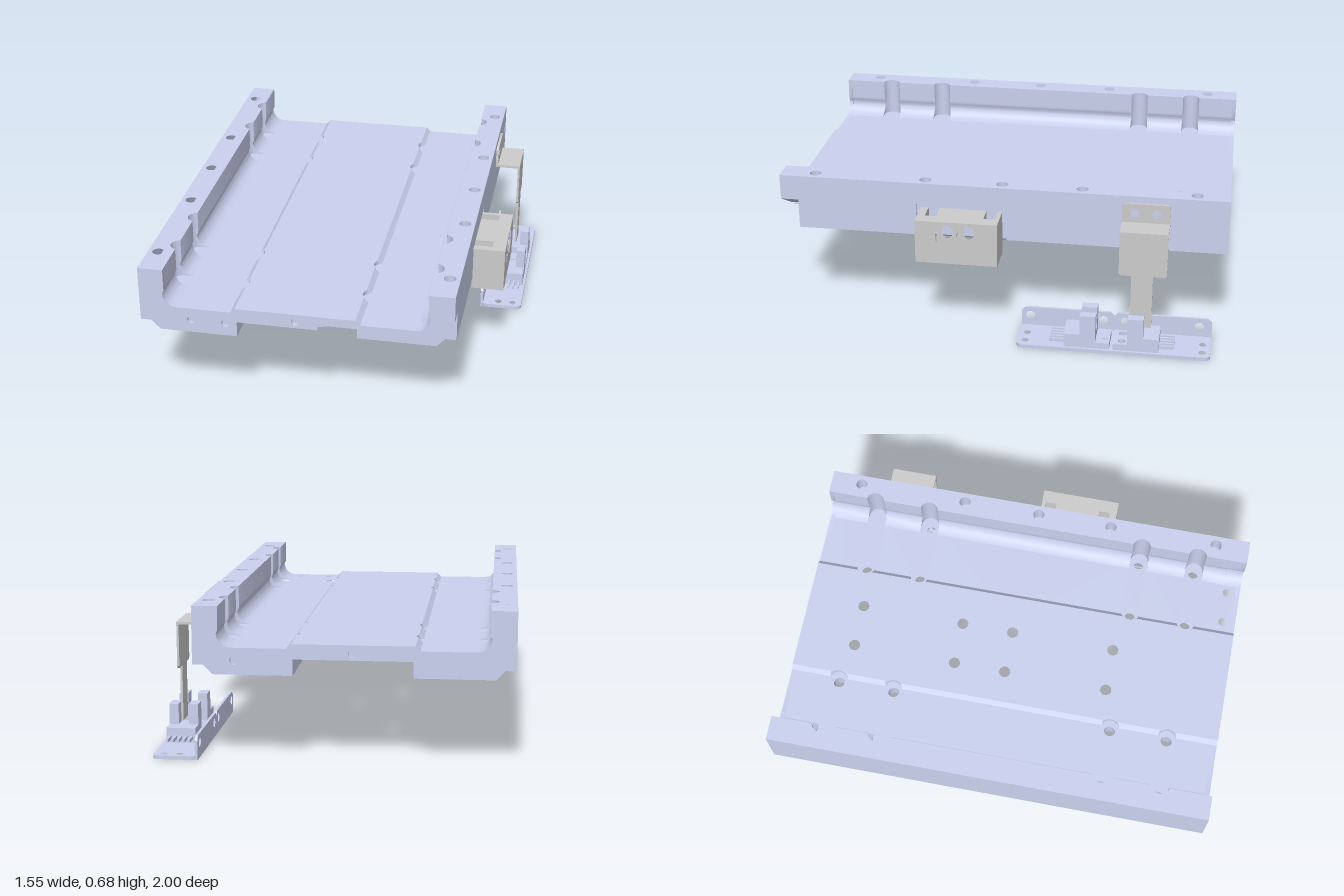
import * as THREE from 'three';
import { toCreasedNormals } from 'three/addons/utils/BufferGeometryUtils.js';

const blue = new THREE.MeshStandardMaterial({ color: 0xcad1ee });
const grey = new THREE.MeshStandardMaterial({ color: 0xcccccc });

// Outline with holes [a, b, radius, radiusB], extruded along local z.
function solid(pts, holes, depth, steps = 1) {
  const shape = new THREE.Shape(pts.map(p => new THREE.Vector2(p[0], p[1])));
  for (const [a, b, r, rb = r] of holes) {
    const path = new THREE.Path();
    path.absellipse(a, b, r, rb, 0, Math.PI * 2, true);
    shape.holes.push(path);
  }
  return new THREE.ExtrudeGeometry(shape, { depth, steps, bevelEnabled: false, curveSegments: 20 });
}
function add(group, name, geo, mat) {
  const mesh = new THREE.Mesh(toCreasedNormals(geo, 0.6), mat);
  mesh.name = name;
  group.add(mesh);
  return mesh;
}
// Plate drawn in (x, z) and raised from y0 to y1; shift may move x by (x, y, z).
function slab(pts, y0, y1, holes = [], steps = 1, shift = null) {
  const flip = list => list.map(([x, z, ...r]) => [x, -z, ...r]);
  const geo = solid(flip(pts), flip(holes), y1 - y0, steps).rotateX(-Math.PI / 2).translate(0, y0, 0);
  const p = geo.attributes.position;
  if (shift) for (let i = 0; i < p.count; i++) p.setX(i, shift(p.getX(i), p.getY(i), p.getZ(i)));
  return geo;
}
// Plate drawn in (z, y) and running from x0 to x1.
function panel(pts, x0, x1, holes = []) {
  const flip = list => list.map(([z, ...r]) => [-z, ...r]);
  return solid(flip(pts), flip(holes), x1 - x0).rotateY(Math.PI / 2).translate(x0, 0, 0);
}
// Section drawn in (x, y) and running from z0 to z1.
const section = (pts, z0, z1, holes) => solid(pts, holes, z1 - z0).translate(0, 0, z0);
const rect = (a0, b0, a1, b1) => [[a0, b0], [a1, b0], [a1, b1], [a0, b1]];
function roundRect(a0, b0, a1, b1, r) {
  const pts = [];
  [[a1 - r, b1 - r], [a0 + r, b1 - r], [a0 + r, b0 + r], [a1 - r, b0 + r]].forEach(([a, b], q) => {
    for (let k = 0; k <= 5; k++) {
      const t = (q + k / 5) * Math.PI / 2;
      pts.push([a + r * Math.cos(t), b + r * Math.sin(t)]);
    }
  });
  return pts;
}

const E = 0.98;                               // body end, closed by the end faces
const R = 0.042, rowZ = [-0.775, -0.515, 0.505, 0.77];
const midZ = [-0.745, -0.265, -0.025, 0.455];

// Half-chord of the counterbore at z, or -1 outside every counterbore
function chord(z) {
  for (const c of rowZ) {
    const d = Math.abs(z - c);
    if (d <= R + 1e-5) return Math.sqrt(Math.max(0, R * R - d * d));
  }
  return -1;
}
// Inner wall face: straight, slight undercut, then a round fillet to the floor
function wallFace(y) {
  if (y >= 0.58) return 0.5675;
  if (y >= 0.565) return 0.575 - (y - 0.565) * 0.5;
  return 0.515 + Math.sqrt(Math.max(0, 0.0036 - (0.565 - y) ** 2));
}
const wallU = (y, z) => { const c = chord(z); return c < 0 ? wallFace(y) : Math.max(wallFace(y), 0.5575 + c); };
const deckU = (y, z) => {
  const c = chord(z), u = 0.28 - (y - 0.505);
  return c < 0 ? u : Math.min(u, 0.2925 - c);
};
function stations(z0, z1) {
  const zs = [z0];
  for (const c of rowZ) {
    zs.push(c - R - 0.0005);
    for (let k = 0; k <= 12; k++) zs.push(c - R * Math.cos(k * Math.PI / 12));
    zs.push(c + R + 0.0005);
  }
  return [...zs, z1];
}

function carriage() {
  const g = new THREE.Group();
  g.name = 'carriage';
  g.position.x = -0.0975;
  const grid = (us, zs, r) => us.flatMap(u => zs.map(z => [u, z, r]));
  const rows = [-0.5575, -0.2925, 0.2925, 0.5575];
  const tabs = [[0.3275, 0.94, 0.019], [0.4775, 0.94, 0.019]];

  // floor layers: bores below, counterbores above
  add(g, 'floorLower', slab([[-0.6625, -E], [0.6625, -E], [0.6625, 0.92], [0.0975, 0.92], [0.0975, E], [-0.6625, E]],
    0.46, 0.48, [...grid(rows, rowZ, 0.026), ...grid([-0.1, 0.1], midZ, 0.026)]), blue);
  add(g, 'floorUpper', slab([[-0.6625, -E], [0.6625, -E], [0.6625, 0.92], [0.5475, 0.92], [0.5475, E], [-0.6625, E]],
    0.48, 0.505, [...grid(rows, rowZ, R), ...grid([-0.1, 0.1], midZ, 0.05), ...tabs]), blue);
  const zs = stations(-E, E);
  add(g, 'raisedDeck', slab([...zs.map(z => [deckU(0.505, z), z]), ...[...zs].reverse().map(z => [-deckU(0.505, z), z])],
    0.505, 0.525, grid([-0.1, 0.1], midZ, 0.05), 1,
    (x, y, z) => Math.abs(x) < 0.2 ? x : Math.sign(x) * deckU(y, z)), blue);

  for (const s of [-1, 1]) {
    const front = s > 0 ? 0.92 : E, side = s > 0 ? 'left' : 'right';
    const bores = grid([s * 0.2925, s * 0.5575], rowZ, 0.026);
    // foot with a chamfered outer edge
    add(g, side + 'Foot', slab(rect(s * 0.2525, -E, s * 0.63, front), 0.39, 0.43, bores, 1,
      (x, y) => Math.abs(x) > 0.625 && y < 0.4 ? s * 0.5925 : x), blue);
    add(g, side + 'FootUpper', slab(rect(s * 0.2525, -E, s * 0.6625, front), 0.43, 0.46, bores), blue);
    // wall: filleted base and top with blind holes, both grooved by the counterbores
    const outline = (y, z1) => [...stations(-E, z1).map(z => [s * wallU(y, z), z]), [s * 0.6625, z1], [s * 0.6625, -E]];
    add(g, side + 'WallBase', slab(outline(0.6, front), 0.505, 0.6, [], 12,
      (x, y, z) => Math.abs(x) > 0.66 ? x : s * wallU(y, z)), blue);
    add(g, side + 'WallTop', slab(outline(0.6, E), 0.6, 0.68,
      [-0.855, -0.355, 0, 0.345, 0.845].map(z => [s * 0.6325, z, 0.026])), blue);
  }

  // outer wall faces with cross holes; one has a recess and a cut front corner
  add(g, 'leftWallFace', panel([[-E, 0.43], [-0.025, 0.43], [-0.025, 0.58], [0.38, 0.58], [0.38, 0.43],
    [0.92, 0.43], [0.92, 0.565], [E, 0.565], [E, 0.68], [-E, 0.68]], 0.6625, 0.6775,
    [[0.75, 0.58, 0.017], [-0.13, 0.58, 0.017], [-0.93, 0.58, 0.017]]), blue);
  add(g, 'rightWallFace', panel(rect(-E, 0.43, E, 0.68), -0.6775, -0.6625,
    [[-0.9, 0.62, 0.017], [-0.9, 0.5, 0.017], [0.88, 0.58, 0.017]]), blue);

  // end faces follow the full section, the front one with its undercut corner
  const fillet = [0.58, 0.565, 0.545, 0.53, 0.517, 0.509, 0.505].map(y => [wallFace(y), y]);
  const topRight = [[0.6775, 0.68], [0.5675, 0.68], ...fillet, [0.28, 0.505], [0.26, 0.525]];
  const mirror = pts => [...pts].reverse().map(([x, y]) => [-x, y]);
  const under = [[0.2525, 0.46], [0.2525, 0.39], [0.5925, 0.39], [0.63, 0.43], [0.6775, 0.43]];
  const top = [...topRight, ...mirror(topRight)];
  add(g, 'backFace', section([...under, ...top, ...mirror(under)], -1, -E,
    [[0.5, 0.45, 0.018], [0.0025, 0.49, 0.018]]), blue);
  const cut = [[0.0975, 0.46], [0.0975, 0.475], [0.1375, 0.485], [0.5375, 0.485], [0.6775, 0.565]];
  add(g, 'frontFace', section([...cut, ...top, ...mirror(under)], E, 1,
    [[-0.4525, 0.45, 0.018], [-0.3025, 0.45, 0.018], [0.0025, 0.49, 0.018]]), blue);
  add(g, 'frontCorner', section([[0.5375, 0.485], [0.675, 0.564], [0.675, 0.6], [0.5675, 0.6], ...fillet], 0.92, E, []), blue);
  return g;
}

// Stop block: large counterbored slots in the outer half, open slots behind
function stopBlock() {
  const g = new THREE.Group();
  g.name = 'stopBlock';
  const ovals = (r, rb) => [[0.225, 0.495, r, rb], [0.13, 0.495, r, rb]];
  add(g, 'blockOuter', panel(rect(-0.005, 0.365, 0.36, 0.565), 0.66, 0.72, ovals(0.045, 0.058)), grey);
  add(g, 'blockInner', panel(rect(0.065, 0.365, 0.275, 0.565), 0.575, 0.66, ovals(0.024, 0.034)), grey);
  for (const [a, b] of [[-0.005, 0.015], [0.325, 0.36]])
    add(g, 'blockEnd', panel(rect(a, 0.365, b, 0.565), 0.575, 0.66), grey);
  return g;
}

// Bent sheet flag that dips between the sensor posts
function sensorFlag() {
  const g = new THREE.Group();
  g.name = 'sensorFlag';
  add(g, 'flagMount', panel([[-0.745, 0.555], [-0.535, 0.555], [-0.535, 0.63], [-0.54, 0.644], [-0.555, 0.65],
    [-0.725, 0.65], [-0.74, 0.644], [-0.745, 0.63]], 0.58, 0.592,
    [[-0.59, 0.605, 0.02], [-0.685, 0.605, 0.02]]), grey);
  add(g, 'flagShelf', slab(rect(0.58, -0.745, 0.7, -0.535), 0.55, 0.562), grey);
  add(g, 'flagBlade', panel([[-0.745, 0.55], [-0.745, 0.365], [-0.735, 0.355], [-0.685, 0.355], [-0.685, 0.105],
    [-0.59, 0.105], [-0.59, 0.355], [-0.545, 0.355], [-0.535, 0.365], [-0.535, 0.55]], 0.69, 0.7), grey);
  return g;
}

// Sensor bracket: angled sheet carrying two mirrored fork sensors
function sensorUnit() {
  const g = new THREE.Group();
  g.name = 'sensorUnit';
  const mid = -0.515, xs = [0.66, 0.73];
  const screws = xs.flatMap(x => [[x, -0.485, 0.017], [x, -0.56, 0.017]]);
  add(g, 'bracketBase', slab(roundRect(0.58, -0.95, 0.772, -0.095, 0.025), 0, 0.016,
    [...xs.flatMap(x => [[x, -0.915, 0.016], [x, -0.13, 0.016]]), ...screws]), blue);
  add(g, 'bracketUpright', panel([[-0.95, 0], [-0.095, 0], [-0.095, 0.085], [-0.115, 0.105], [-0.495, 0.105],
    [-0.515, 0.085], [-0.535, 0.105], [-0.93, 0.105], [-0.95, 0.085]], 0.575, 0.587,
    [-0.135, -0.465, -0.565, -0.895].map(z => [z, 0.065, 0.02])), blue);
  for (const s of [-1, 1]) {
    const at = d => mid + s * d;
    const box = (name, x0, x1, d0, d1, y0, y1) => add(g, name, slab(rect(x0, at(d0), x1, at(d1)), y0, y1), blue);
    add(g, 'sensorEar', slab(rect(0.63, at(0.008), 0.76, at(0.07)), 0.016, 0.045,
      screws.filter(h => s * (h[1] - mid) > 0)), blue);
    box('sensorBody', 0.63, 0.76, 0.07, 0.14, 0.016, 0.08);
    box('sensorHousing', 0.63, 0.76, 0.14, 0.21, 0.016, 0.08);
    box('sensorPost', 0.63, 0.673, 0.07, 0.14, 0.08, 0.172);
    box('sensorPost', 0.718, 0.76, 0.07, 0.14, 0.08, 0.172);
    for (let i = 0; i < 5; i++) box('sensorPin', 0.642 + i * 0.024, 0.652 + i * 0.024, 0.21, 0.275, 0.03, 0.045);
  }
  return g;
}

export function createModel() {
  const model = new THREE.Group();
  model.name = 'slideCarriage';
  model.add(carriage(), stopBlock(), sensorFlag(), sensorUnit());
  return model;
}
